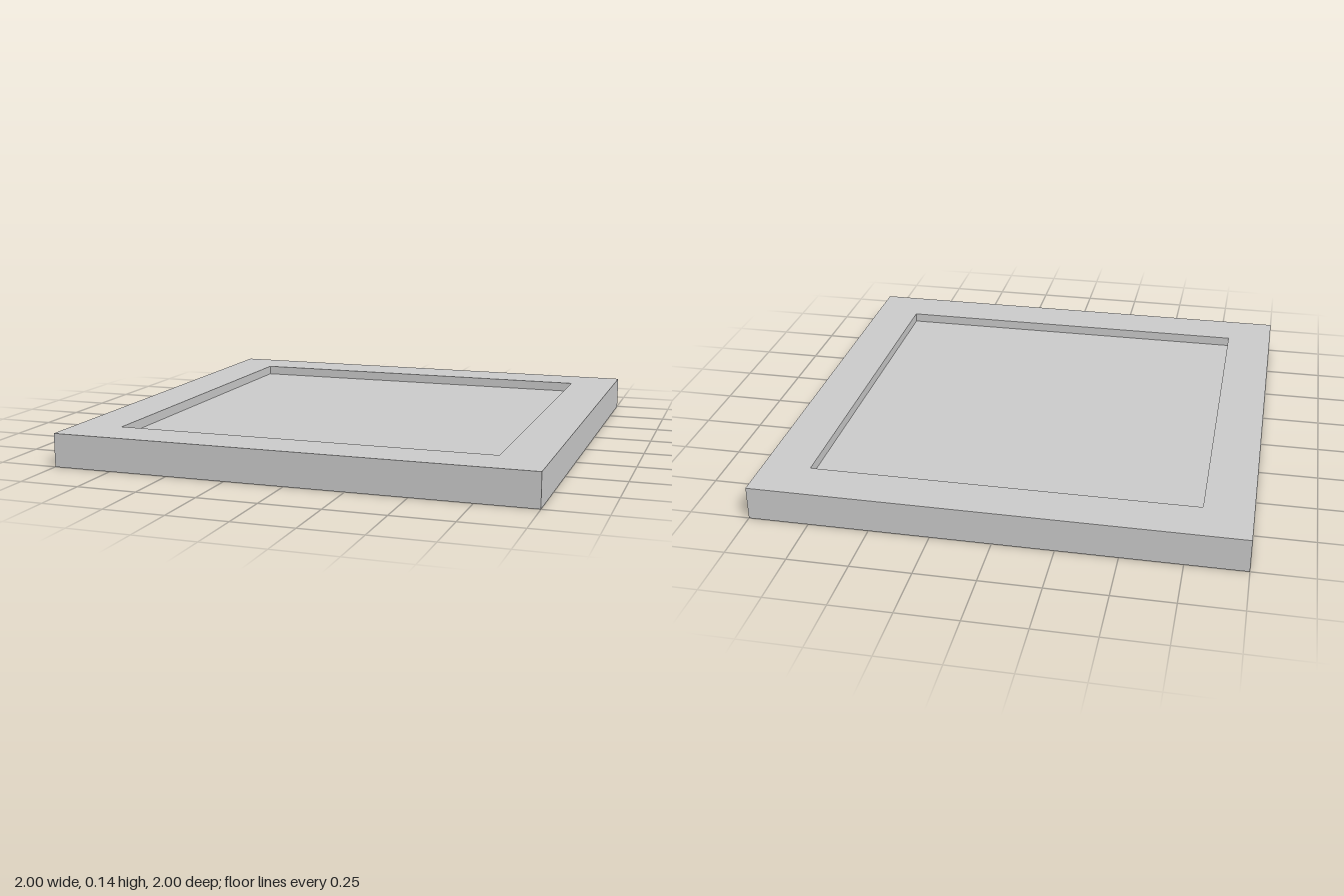
import * as THREE from 'three';

export function createModel() {
  const group = new THREE.Group();
  group.name = 'squareTray';

  // Half-width and height of the tray section: underside, outer wall, rim, recess wall, floor
  const section = [[0, 0], [1, 0], [1, 0.14], [0.8, 0.14], [0.8, 0.1], [0, 0.1]];
  const points = section.map(([half, y]) => new THREE.Vector2(half * Math.SQRT2, y));

  // Four-sided lathe turned 45 degrees gives one closed square solid
  const geometry = new THREE.LatheGeometry(points, 4, Math.PI / 4).toNonIndexed();
  geometry.computeVertexNormals();

  const tray = new THREE.Mesh(
    geometry,
    new THREE.MeshStandardMaterial({ color: 0xcccccc, flatShading: true })
  );
  tray.name = 'recessedTray';
  group.add(tray);
  return group;
}
